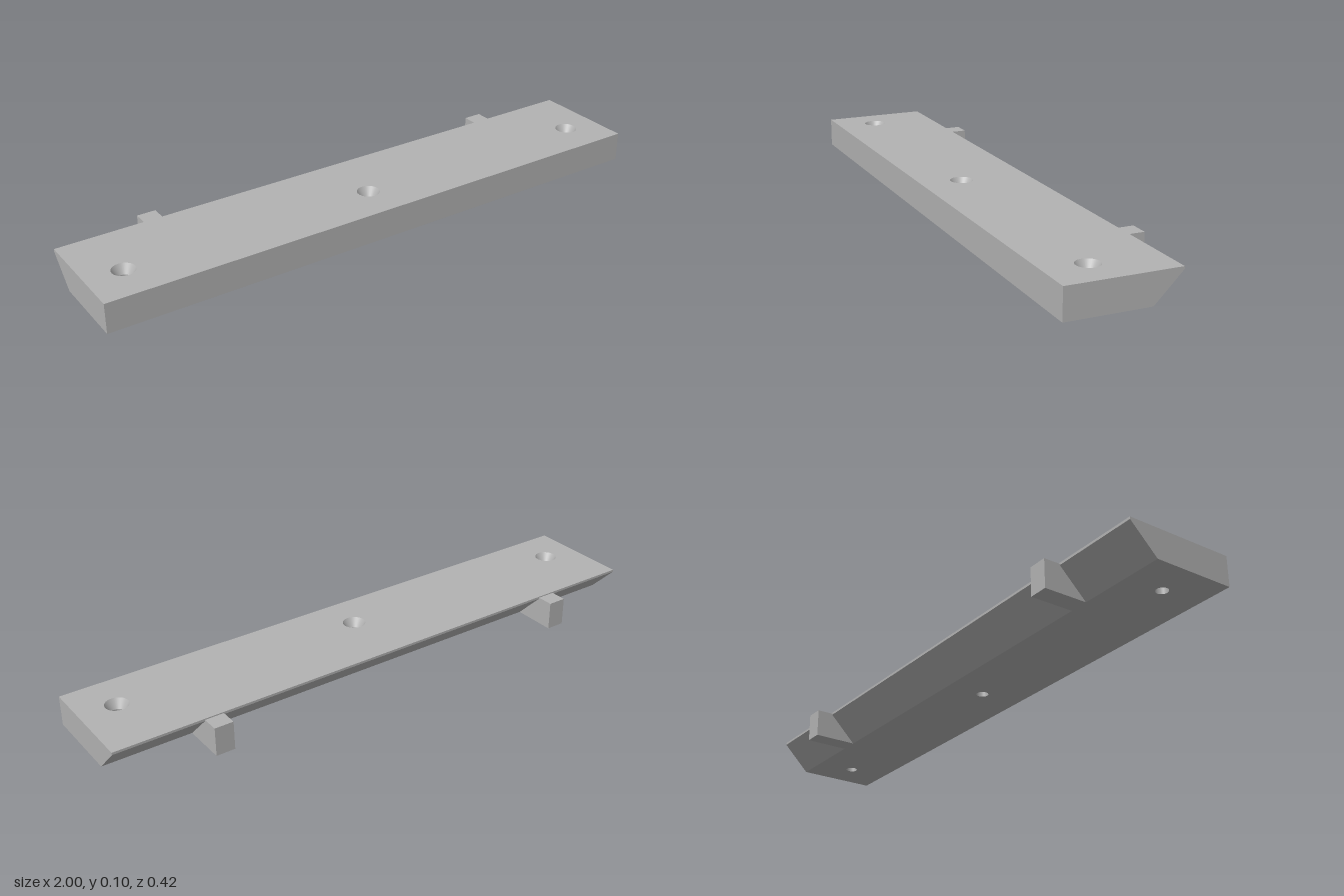
import * as THREE from 'three';
import { mergeGeometries } from 'three/addons/utils/BufferGeometryUtils.js';

const H = 0.101, FRONT = 0.212, BACK = -0.155, FOOT = -0.062, LIP = 0.093;
const HOLE_X = [-0.875, 0, 0.875], HOLE_Z = 0.071, R_TOP = 0.038, R_BOTTOM = 0.02, SINK = 0.03;
const TAB_X = 0.667, TAB_W = 0.064, TAB_BACK = -0.212, TAB_H = 0.097;

const polygon = (pts) => new THREE.Shape(pts.map(([a, b]) => new THREE.Vector2(a, b)));

// Horizontal face with screw holes; dir is +1 for facing up, -1 for facing down
function drilledFace(y, zBack, radius, dir) {
  const s = polygon([[-1, -dir * FRONT], [1, -dir * FRONT], [1, -dir * zBack], [-1, -dir * zBack]]);
  for (const x of HOLE_X) {
    s.holes.push(new THREE.Path().absarc(x, -dir * HOLE_Z, radius, 0, Math.PI * 2, true));
  }
  return new THREE.ShapeGeometry(s, 16).rotateX(-dir * Math.PI / 2).translate(0, y, 0);
}

// Slanted or upright strip running the full length
function strip(height, y, z, turn, tilt) {
  return new THREE.PlaneGeometry(2, height).rotateY(turn).rotateX(tilt).translate(0, y, z);
}

// End cap; side is +1 for the left end, -1 for the right end
function endCap(side) {
  const outline = [[FRONT, 0], [FRONT, H], [BACK, H], [BACK, LIP], [FOOT, 0]];
  return new THREE.ShapeGeometry(polygon(outline.map(([z, y]) => [-side * z, y])))
    .rotateY(side * Math.PI / 2).translate(side, 0, 0);
}

export function createModel() {
  const group = new THREE.Group();
  const grey = new THREE.MeshStandardMaterial({ color: 0xb2b2b2, side: THREE.DoubleSide });
  grey.name = 'grey';
  const add = (name, geometry) => {
    const mesh = new THREE.Mesh(geometry, grey);
    mesh.name = name;
    group.add(mesh);
    return mesh;
  };

  // Long bar with an undercut back edge
  const dz = FOOT - BACK;
  add('bar', mergeGeometries([
    drilledFace(H, BACK, R_TOP, 1),
    drilledFace(0, FOOT, R_BOTTOM, -1),
    strip(H, H / 2, FRONT, 0, 0),
    strip(H - LIP, (H + LIP) / 2, BACK, Math.PI, 0),
    strip(Math.hypot(dz, LIP), LIP / 2, (BACK + FOOT) / 2, Math.PI, -Math.atan2(dz, LIP)),
    endCap(1),
    endCap(-1),
  ]));

  // Countersunk screw holes: a cone above a straight bore
  for (const x of HOLE_X) {
    const walls = [
      [[R_TOP, H], [R_BOTTOM, H - SINK]],
      [[R_BOTTOM, H - SINK], [R_BOTTOM, 0]],
    ].map((pts) => new THREE.LatheGeometry(pts.map(([r, y]) => new THREE.Vector2(r, y)), 32));
    add('screwHole', mergeGeometries(walls)).position.set(x, 0, HOLE_Z);
  }

  // Two tabs that fill the undercut and stick out at the back
  const tabShape = polygon([
    [-FOOT, 0], [-TAB_BACK, 0], [-TAB_BACK, TAB_H], [-BACK, TAB_H], [-BACK, LIP],
  ]);
  for (const side of [-1, 1]) {
    const tab = new THREE.ExtrudeGeometry(tabShape, { depth: TAB_W, bevelEnabled: false });
    tab.translate(0, 0, -TAB_W / 2).rotateY(Math.PI / 2);
    add(side > 0 ? 'leftTab' : 'rightTab', tab).position.x = side * TAB_X;
  }
  return group;
}
